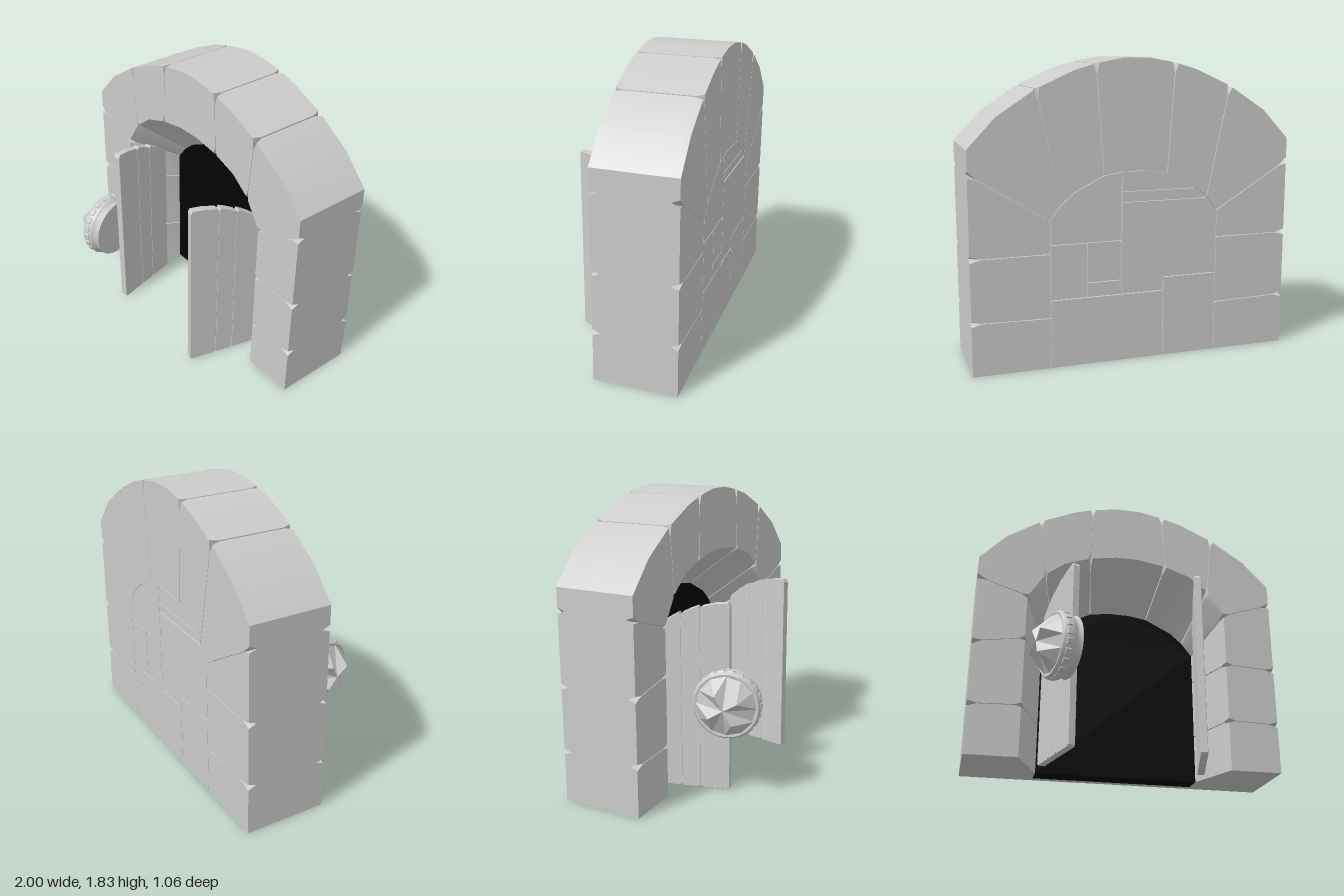
import * as THREE from 'three';
import { toCreasedNormals } from 'three/addons/utils/BufferGeometryUtils.js';

const flatMat = new THREE.MeshStandardMaterial({ color: 0xcccccc, flatShading: true });
const smoothMat = new THREE.MeshStandardMaterial({ color: 0xcccccc });
const darkMat = new THREE.MeshStandardMaterial({ color: 0x050505 });

const FRONT = -0.01, BACK = -0.53, WALL = -0.34;
// Inner edge of the opening at the wall, right half, from springing to crown
const ARCH = [[0.53, 0.9], [0.46, 0.99], [0.38, 1.06], [0.2, 1.15], [0.07, 1.17]];

// Seams of one half, base to crown: outer point, inner front, inner back
const SEAMS = [
  { o: [1, 0], f: [0.67, 0], b: [0.53, 0] },
  { o: [1, 0.32], f: [0.67, 0.33], b: [0.53, 0.31] },
  { o: [1, 0.7], f: [0.67, 0.72], b: [0.53, 0.7] },
  { o: [1, 1.19], f: [0.67, 1.08], b: [0.53, 0.9] },
  { o: [0.6, 1.66], f: [0.56, 1.25], b: [0.46, 0.99] },
  { o: [0.245, 1.8], f: [0.26, 1.41], b: [0.2, 1.15] },
];
// Extra outline points between seam i and i + 1
const OUTER = { 3: [[1, 1.33], [0.83, 1.51]], 4: [[0.38, 1.76]] };
const INNER = { 4: [{ f: [0.43, 1.35], b: [0.38, 1.06] }] };

const flip = ([x, y]) => [-x, y];
const flipSeam = (s, lift) => ({ o: [-s.o[0], s.o[1] + lift], f: [-s.f[0], s.f[1] + 2 * lift], b: [-s.b[0], s.b[1] + lift] });
const mix = (a, b, t) => [a[0] + (b[0] - a[0]) * t, a[1] + (b[1] - a[1]) * t];
const toward = (a, b, d) => mix(a, b, d / Math.hypot(b[0] - a[0], b[1] - a[1]));

function mesh(geometry, material, name) {
  const m = new THREE.Mesh(geometry, material);
  m.name = name;
  return m;
}

// Solid from counterclockwise sections stacked from front to back
function stack(sections, zs) {
  const n = sections[0].length, pos = [], index = [];
  sections.forEach((s, k) => s.forEach(([x, y]) => pos.push(x, y, zs[k])));
  for (let k = 0; k < zs.length - 1; k++) {
    for (let i = 0; i < n; i++) {
      const a = k * n + i, b = k * n + (i + 1) % n;
      index.push(a, a + n, b, b, a + n, b + n);
    }
  }
  const cap = (s) => THREE.ShapeUtils.triangulateShape(s.map(([x, y]) => new THREE.Vector2(x, y)), []);
  const last = (zs.length - 1) * n;
  cap(sections[0]).forEach(([a, b, c]) => index.push(a, b, c));
  cap(sections[zs.length - 1]).forEach(([a, b, c]) => index.push(last + a, last + c, last + b));
  const g = new THREE.BufferGeometry();
  g.setAttribute('position', new THREE.Float32BufferAttribute(pos, 3));
  g.setIndex(index);
  return toCreasedNormals(g, 0.6);
}

// Splayed arch stone: seams grooved at front and back, with chipped corners
function archStone(A, B, outer, inner, chipA, chipB) {
  const zs = [FRONT, -0.06, WALL, -0.48, BACK];
  const sections = zs.map((z, k) => {
    const t = Math.min(1, (FRONT - z) / (FRONT - WALL));
    const end = k === 0 || k === zs.length - 1;
    const at = (s) => mix(s.f, s.b, t);
    const aIn = at(A), bIn = at(B), mids = inner.map(at).reverse();
    const innerChip = k === 0 ? 0.016 : 0.003, groove = end ? 0.002 : 0;
    // Seams across the top of the arch stay slightly open all the way back
    const outerChip = (p) => (end ? 0.02 : p[1] > 1.5 ? 0.003 : 0);
    const a1 = toward(aIn, A.o, 0.04), a2 = toward(A.o, aIn, 0.06);
    const b1 = toward(bIn, B.o, 0.04), b2 = toward(B.o, bIn, 0.06);
    const top = [A.o, ...outer, B.o], under = [bIn, ...mids, aIn];
    return [
      toward(aIn, under[under.length - 2], chipA ? innerChip : 0),
      toward(a1, b1, chipA ? groove : 0),
      toward(a2, b2, chipA ? groove : 0),
      toward(A.o, top[1], chipA ? outerChip(A.o) : 0),
      ...outer,
      toward(B.o, top[top.length - 2], chipB ? outerChip(B.o) : 0),
      toward(b2, a2, chipB ? groove : 0),
      toward(b1, a1, chipB ? groove : 0),
      toward(bIn, under[1], chipB ? innerChip : 0),
      ...mids,
    ];
  });
  return stack(sections, zs);
}

function buildArch() {
  const g = new THREE.Group();
  g.name = 'stoneArch';
  const lifts = [0, 0, 0.03, 0, 0, 0];
  const mirrored = SEAMS.map((s, i) => flipSeam(s, lifts[i]));
  for (let i = 0; i < 5; i++) {
    const name = i < 3 ? 'jambStone' : 'archStone';
    const o = OUTER[i] || [], n = INNER[i] || [];
    const oFlip = o.map(flip).reverse(), nFlip = n.map((p) => flipSeam({ o: [0, 0], ...p }, 0));
    g.add(mesh(archStone(SEAMS[i], SEAMS[i + 1], o, n, i > 0, true), smoothMat, name));
    g.add(mesh(archStone(mirrored[i + 1], mirrored[i], oFlip, nFlip, true, i > 0), smoothMat, name));
  }
  const crown = [{ f: [0.08, 1.44], b: [0.07, 1.17] }, { f: [-0.08, 1.44], b: [-0.07, 1.17] }];
  g.add(mesh(archStone(SEAMS[5], mirrored[5], [[0.08, 1.83], [-0.08, 1.83]], crown, true, true), smoothMat, 'keystone'));
  return g;
}

// Height of the opening at x
function archHeight(x) {
  const ax = Math.abs(x);
  for (let i = 0; i < ARCH.length - 1; i++) {
    const [x0, y0] = ARCH[i], [x1, y1] = ARCH[i + 1];
    if (ax >= x1) return y0 + (y1 - y0) * (x0 - ax) / (x0 - x1);
  }
  return 1.17;
}

// Slab between x0..x1 and y0..y1, kept a little inside the arched opening
function slab(x0, x1, y0, y1, zBack, zFront, margin) {
  const breaks = [...ARCH.map((p) => p[0]), ...ARCH.map((p) => -p[0])].filter((x) => x > x0 && x < x1);
  const xs = [x1, ...breaks.sort((a, b) => b - a), x0];
  const top = xs.map((x) => new THREE.Vector2(x, Math.max(y0 + 0.002, Math.min(y1, archHeight(x) - margin))));
  const shape = new THREE.Shape([new THREE.Vector2(x0, y0), new THREE.Vector2(x1, y0), ...top]);
  return new THREE.ExtrudeGeometry(shape, { depth: zFront - zBack, bevelEnabled: false }).translate(0, 0, zBack);
}

function buildWall() {
  const g = new THREE.Group();
  g.name = 'backWall';
  g.add(mesh(slab(-0.53, 0.53, 0, 1.17, -0.48, WALL, 0), darkMat, 'darkDoorway'));
  g.add(mesh(slab(-0.53, 0.53, 0, 1.17, -0.515, -0.48, 0), flatMat, 'wallCore'));
  const E = 0.527;
  const blocks = [
    [-0.178, E, 0, 0.415], [-E, -0.182, 0, 0.5], [0.305, E, 0.42, 0.75],
    [0.09, 0.3, 0.51, 0.75], [0.09, 0.3, 0.42, 0.505], [0.09, E, 0.755, 1.17],
    [-0.178, 0.086, 0.422, 0.98], [-E, -0.178, 0.505, 0.98],
    [-0.46, 0.086, 0.99, 1.045], [-0.41, 0.086, 1.05, 1.17],
  ];
  blocks.forEach((b) => g.add(mesh(slab(...b, BACK, -0.515, 0.004), flatMat, 'wallBlock')));
  return g;
}

// Door leaf of three planks with a curved top, x running from free edge to hinge
function buildDoor(side) {
  const g = new THREE.Group();
  g.name = side > 0 ? 'leftDoor' : 'rightDoor';
  const top = (u) => 1.2 - 0.75 * u * u;
  const seams = [0, 0.185, 0.305, 0.48];
  for (let i = 0; i < 3; i++) {
    const a = seams[i], b = seams[i + 1], c = 0.012;
    const pts = [[a + c, 0], [b - c, 0], [b, c], [b, top(b) - c], [b - c, top(b)], [(a + b) / 2, top((a + b) / 2)], [a + c, top(a)], [a, top(a) - 0.02], [a, c]];
    const shape = new THREE.Shape(pts.map((p) => new THREE.Vector2(...p)));
    const geo = new THREE.ExtrudeGeometry(shape, {
      depth: 0.041, bevelThickness: 0.002, bevelSize: 0.002, bevelOffset: -0.002, bevelSegments: 1,
    }).translate(0, 0, -0.0205);
    g.add(mesh(geo, flatMat, 'doorPlank'));
  }
  const turn = 1.318;
  g.position.set(side * 0.395, 0, side > 0 ? 0.294 : 0.28);
  g.rotation.y = side > 0 ? turn : Math.PI - turn;
  return g;
}

// Faceted gem: four raised corners parted by wedge-shaped valleys
function gemGeometry() {
  const pos = [], wedge = 0.22, quarter = Math.PI / 2;
  const point = (a, r, h) => [Math.cos(a) * r, h, -Math.sin(a) * r];
  const rim = (a) => point(a, 0.19, 0.035);
  const centre = [0, 0.135, 0];
  for (let q = 0; q < 4; q++) {
    const a = q * quarter, peak = point(a + quarter / 2, 0.1, 0.145);
    const start = rim(a + wedge), mid = rim(a + quarter / 2), end = rim(a + quarter - wedge);
    const faces = [
      [centre, rim(a - wedge), start], [centre, start, peak], [peak, start, mid],
      [peak, mid, end], [centre, peak, end],
    ];
    faces.forEach((f) => f.forEach((p) => pos.push(...p)));
  }
  const g = new THREE.BufferGeometry();
  g.setAttribute('position', new THREE.Float32BufferAttribute(pos, 3));
  g.computeVertexNormals();
  return g;
}

// Round boss with a studded rim and a cut gem
function buildKnob() {
  const g = new THREE.Group();
  g.name = 'doorKnob';
  const profile = [[0, -0.09], [0.192, -0.09], [0.195, -0.084], [0.185, -0.065], [0.188, -0.05], [0.202, -0.038], [0.208, -0.028], [0.206, 0.03], [0.196, 0.042], [0.185, 0.04], [0, 0.035]];
  const rim = new THREE.LatheGeometry(profile.map((p) => new THREE.Vector2(...p)), 40);
  g.add(mesh(toCreasedNormals(rim, 0.7), smoothMat, 'knobRim'));
  g.add(mesh(gemGeometry(), flatMat, 'knobGem'));
  const count = 22;
  for (let i = 0; i < count; i++) {
    const a = (i / count) * Math.PI * 2;
    const stud = mesh(new THREE.CylinderGeometry(0.021, 0.028, 0.008, 4).rotateY(Math.PI / 4).rotateX(Math.PI / 2), flatMat, 'rimStud');
    stud.position.set(Math.sin(a) * 0.209, 0.001, Math.cos(a) * 0.209);
    stud.rotation.y = a;
    g.add(stud);
  }
  g.position.set(-0.505, 0.605, 0.315);
  g.quaternion.setFromUnitVectors(new THREE.Vector3(0, 1, 0), new THREE.Vector3(-0.97, 0, 0.25).normalize());
  return g;
}

export function createModel() {
  const model = new THREE.Group();
  model.name = 'archedDoorway';
  model.add(buildArch(), buildWall(), buildDoor(1), buildDoor(-1), buildKnob());
  return model;
}
